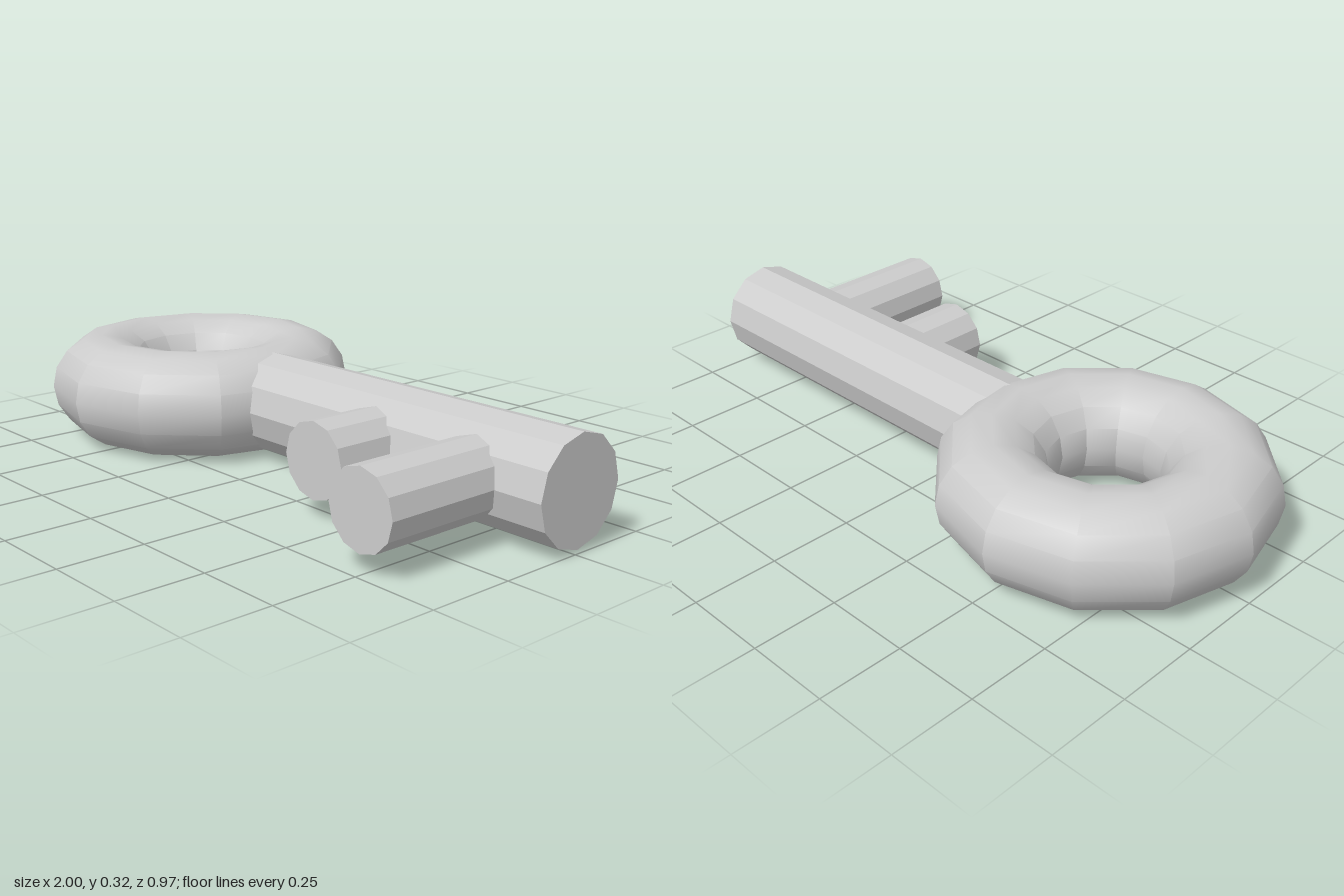
import * as THREE from 'three';
import { toCreasedNormals } from 'three/addons/utils/BufferGeometryUtils.js';

const AXIS_Y = 0.161, AXIS_Z = -0.008;

export function createModel() {
  const key = new THREE.Group();
  key.name = 'key';
  const smooth = new THREE.MeshStandardMaterial({ color: 0xcccccc });
  const faceted = new THREE.MeshStandardMaterial({ color: 0xcccccc, flatShading: true });

  const add = (name, geometry, material, x, y, z) => {
    const mesh = new THREE.Mesh(geometry, material);
    mesh.name = name;
    mesh.position.set(x, y, z);
    key.add(mesh);
  };

  // Ring handle: round in section, with visible segment edges
  const ring = new THREE.TorusGeometry(0.318, 0.16, 16, 12).rotateX(Math.PI / 2);
  add('ringHandle', toCreasedNormals(ring, THREE.MathUtils.degToRad(28)), smooth, -0.522, 0.16, AXIS_Z - 0.002);

  // Shaft, its hidden end buried in the ring
  const start = -0.2, end = 1;
  const shaft = new THREE.CylinderGeometry(0.15, 0.15, end - start, 12).rotateZ(Math.PI / 2);
  add('shaft', shaft, faceted, (start + end) / 2, AXIS_Y, AXIS_Z);

  // Two round teeth, from the shaft's axis towards the front
  for (const [name, x, tip] of [['shortTooth', 0.392, 0.315], ['longTooth', 0.749, 0.487]]) {
    const length = tip - AXIS_Z;
    const tooth = new THREE.CylinderGeometry(0.108, 0.108, length, 12).rotateX(Math.PI / 2);
    add(name, tooth, faceted, x, AXIS_Y, AXIS_Z + length / 2);
  }
  return key;
}
